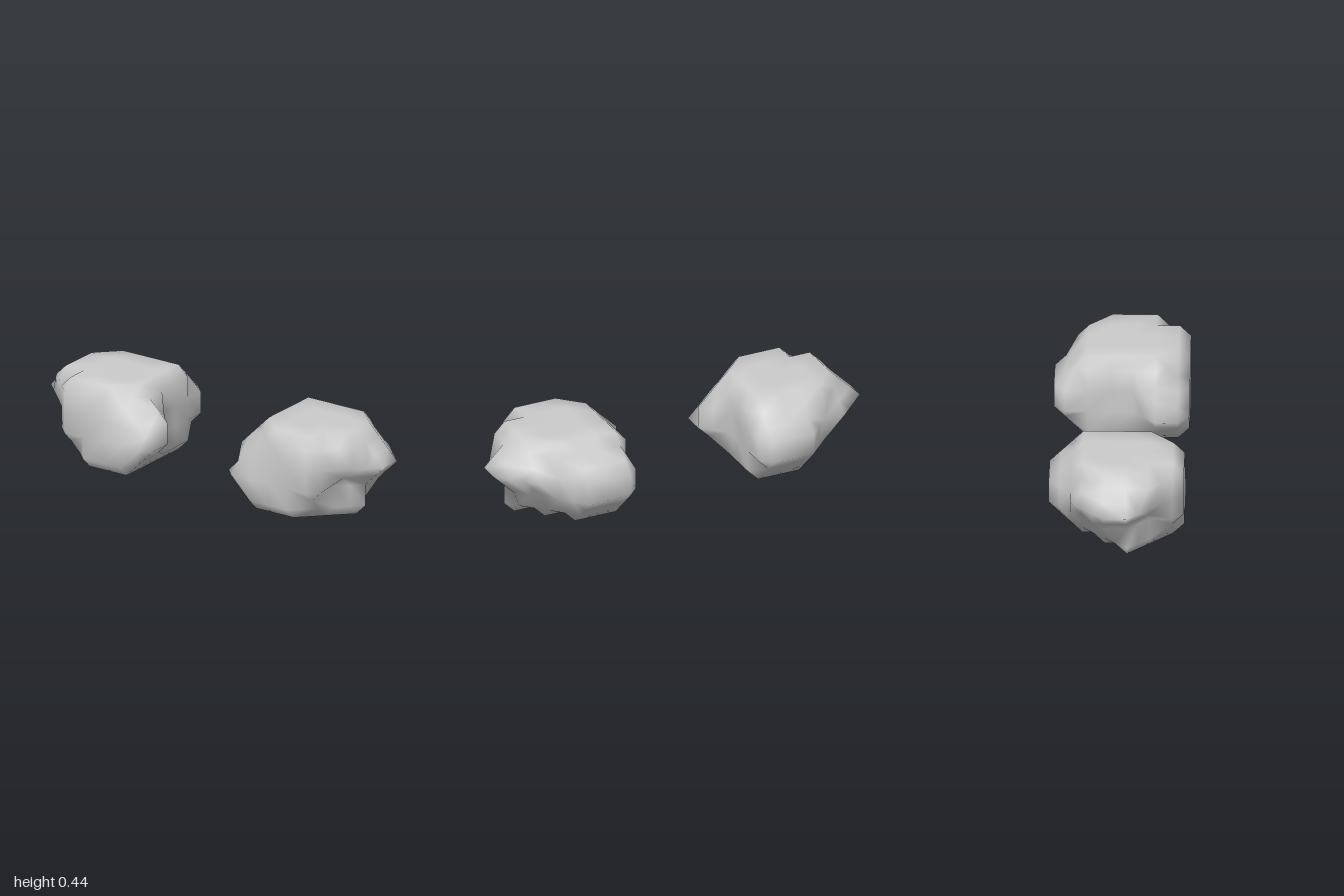
import * as THREE from 'three';

const STEP = 1 / 9;

// Solid spans [first, last] along x, for each layer (bottom to top) and row (back to front).
const LAYERS = [
  [null, [1, 3], [1, 4], [1, 5], [1, 4], [1, 3]],
  [[1, 3], [1, 4], [1, 5], [1, 5], [0, 4], [0, 4]],
  [[1, 3], [1, 5], [1, 6], [1, 6], [0, 5], [1, 4]],
  [null, [1, 4], [1, 5], [1, 5], [1, 5], [2, 4]],
];

function isSolid([i, j, k]) {
  const span = LAYERS[j]?.[k];
  return !!span && i >= span[0] && i <= span[1];
}

// Corner order of the six cell faces, anticlockwise seen from outside the cell.
const CELL_FACES = [];
for (let axis = 0; axis < 3; axis++) {
  for (const side of [0, 1]) {
    const ring = [[0, 0], [1, 0], [1, 1], [0, 1]].map(([u, v]) => {
      const corner = [0, 0, 0];
      corner[axis] = side;
      corner[(axis + 1) % 3] = u;
      corner[(axis + 2) % 3] = v;
      return corner;
    });
    CELL_FACES.push(side ? ring : ring.reverse());
  }
}

// Bevelled skin around the solid layers; side is +1 or -1 for the mirrored lump.
function lumpGeometry(side) {
  const positions = [], indices = [], ids = new Map();

  // Shared vertex halfway between two neighbouring lattice points.
  const midpoint = (a, b) => {
    const m = a.map((v, n) => (v + b[n]) / 2);
    const key = m.join();
    if (!ids.has(key)) {
      ids.set(key, ids.size);
      positions.push(side * (m[0] + 2.5) * STEP, (m[1] + 0.5) * STEP, (m[2] - 2.5) * STEP);
    }
    return ids.get(key);
  };

  const skinCell = (origin) => {
    const next = new Map();
    for (const face of CELL_FACES) {
      const ring = face.map((c) => c.map((v, n) => v + origin[n]));
      const solid = ring.map(isSolid);
      for (let n = 0; n < 4; n++) {
        const before = (n + 3) % 4;
        if (!solid[n] || solid[before]) continue;
        let last = n;
        while (solid[(last + 1) % 4]) last = (last + 1) % 4;
        next.set(midpoint(ring[before], ring[n]), midpoint(ring[last], ring[(last + 1) % 4]));
      }
    }
    // Chain the segments into closed loops and fill each as a fan.
    while (next.size) {
      const loop = [];
      let v = next.keys().next().value;
      while (next.has(v)) {
        loop.push(v);
        const following = next.get(v);
        next.delete(v);
        v = following;
      }
      for (let n = 1; n < loop.length - 1; n++) {
        if (side > 0) indices.push(loop[0], loop[n], loop[n + 1]);
        else indices.push(loop[0], loop[n + 1], loop[n]);
      }
    }
  };

  for (let i = -1; i < 7; i++)
    for (let j = -1; j < 4; j++)
      for (let k = -1; k < 6; k++) skinCell([i, j, k]);

  const geometry = new THREE.BufferGeometry();
  geometry.setAttribute('position', new THREE.Float32BufferAttribute(positions, 3));
  geometry.setIndex(indices);
  geometry.computeVertexNormals();
  return geometry;
}

export function createModel() {
  const group = new THREE.Group();
  group.name = 'lumpPair';
  const material = new THREE.MeshStandardMaterial({ color: 0xcccccc });

  // Two mirrored lumps
  for (const side of [1, -1]) {
    const lump = new THREE.Mesh(lumpGeometry(side), material);
    lump.name = side > 0 ? 'leftLump' : 'rightLump';
    group.add(lump);
  }
  return group;
}
